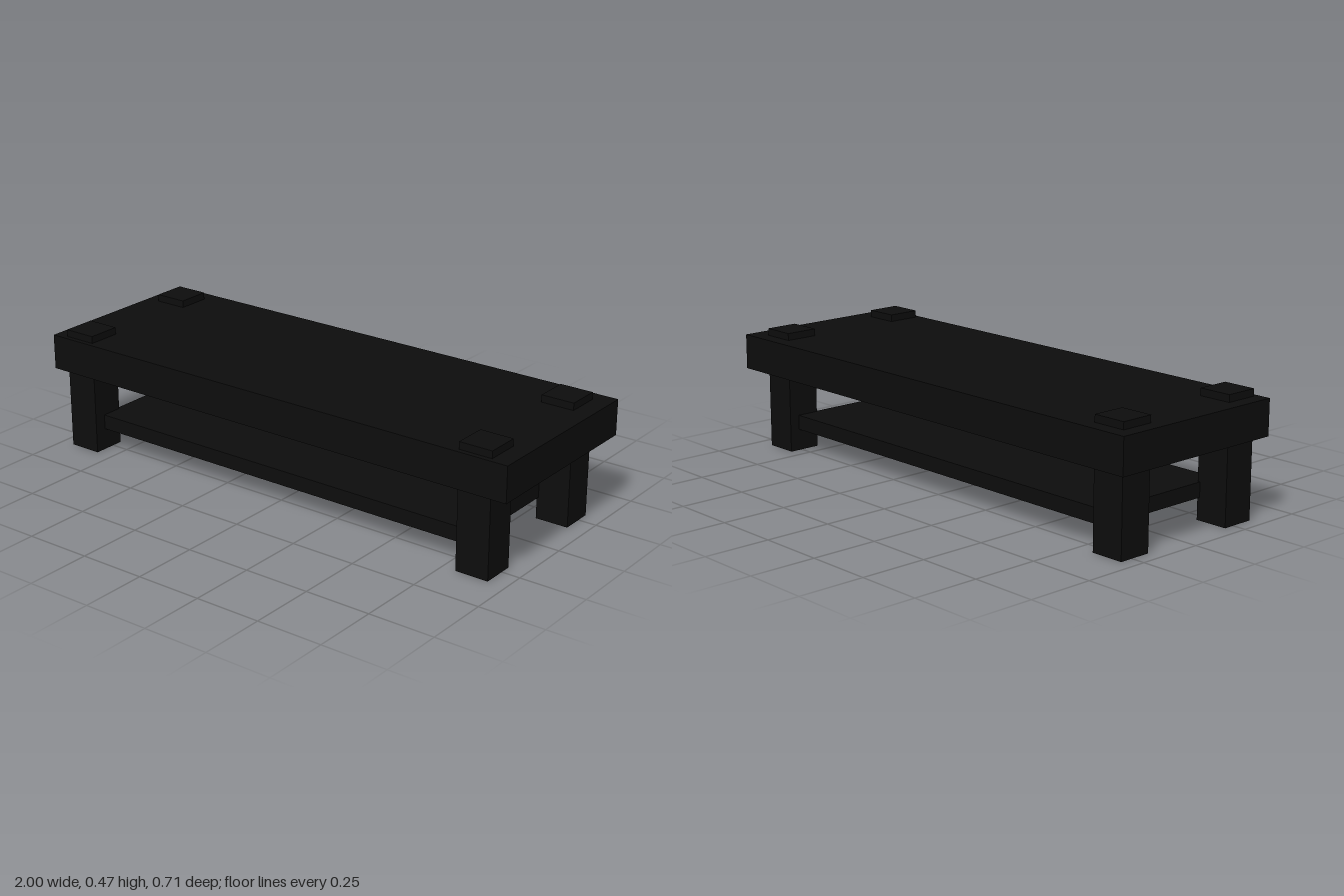
import * as THREE from 'three';

export function createModel() {
  const group = new THREE.Group();
  const black = new THREE.MeshStandardMaterial({ color: 0x0d0d0d });
  black.name = 'black';

  // Box given by its lower and upper limits on each axis
  function box(name, [x0, x1], [y0, y1], [z0, z1]) {
    const mesh = new THREE.Mesh(new THREE.BoxGeometry(x1 - x0, y1 - y0, z1 - z0), black);
    mesh.name = name;
    mesh.position.set((x0 + x1) / 2, (y0 + y1) / 2, (z0 + z1) / 2);
    group.add(mesh);
  }

  // Thick top slab and the thin lower shelf
  box('tableTop', [-1, 1], [0.306, 0.439], [-0.355, 0.355]);
  box('lowerShelf', [-0.83, 0.81], [0.082, 0.138], [-0.26, 0.29]);

  // Square legs that pass through the slab and stand slightly proud of it
  const sides = { right: [-0.947, -0.82], left: [0.803, 0.93] };
  const ends = { Front: [0.209, 0.336], Back: [-0.3, -0.173] };
  for (const [side, x] of Object.entries(sides)) {
    for (const [end, z] of Object.entries(ends)) box(`${side}${end}Leg`, x, [0, 0.466], z);
  }
  return group;
}
